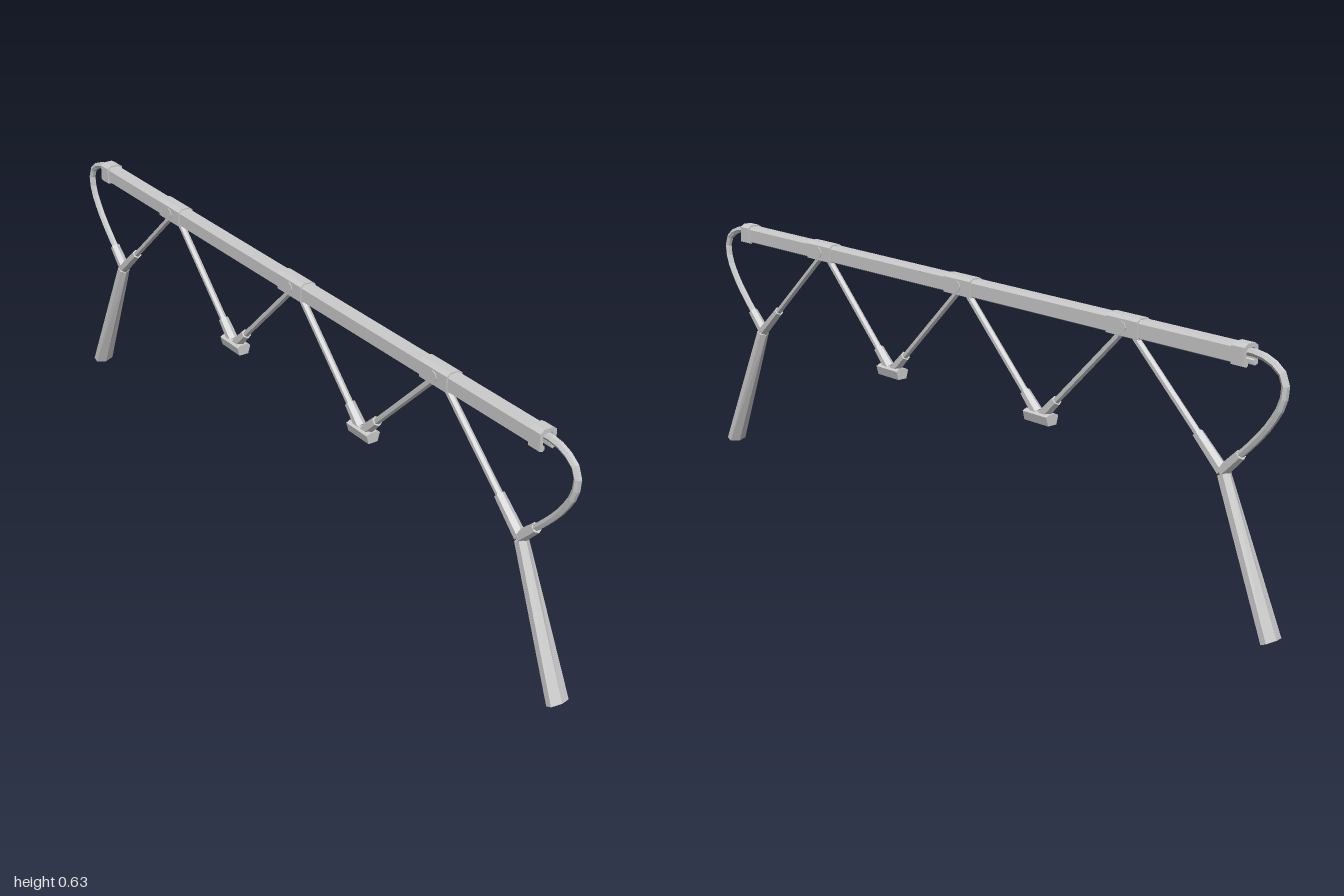
import * as THREE from 'three';

const material = new THREE.MeshStandardMaterial({ color: 0xcccccc, flatShading: true, side: THREE.DoubleSide });

function add(parent, name, geometry) {
  const mesh = new THREE.Mesh(geometry, material);
  mesh.name = name;
  parent.add(mesh);
  return mesh;
}

// Open-bottomed channel with chamfered shoulders and inturned lips, grown outward by g
function channel(length, g = 0) {
  const half = [
    [0, 0.63 + g], [0.011, 0.63 + g], [0.018 + g, 0.623 + g], [0.018 + g, 0.591 - g], [0.013, 0.588 - g],
    [0.009, 0.591 - g], [0.009, 0.596], [0.014, 0.598], [0.014, 0.619], [0.009, 0.624], [0, 0.624],
  ];
  const points = [...half, ...half.slice(1, -1).reverse().map(([x, y]) => [-x, y])];
  const shape = new THREE.Shape(points.map(([x, y]) => new THREE.Vector2(x, y)));
  return new THREE.ExtrudeGeometry(shape, { depth: length, bevelEnabled: false }).translate(0, 0, -length / 2);
}

// Six-sided bar between two [z, y] points in the centre plane
function bar(parent, name, a, b, r0, r1 = r0) {
  const dz = b[0] - a[0], dy = b[1] - a[1];
  const mesh = add(parent, name, new THREE.CylinderGeometry(r1, r0, Math.hypot(dz, dy), 6));
  mesh.position.set(0, (a[1] + b[1]) / 2, (a[0] + b[0]) / 2);
  mesh.rotation.x = Math.atan2(dz, dy);
  return mesh;
}

// Thin strut with a thicker socket at its lower end
function strut(parent, top, foot, socketLength) {
  const t = socketLength / Math.hypot(top[0] - foot[0], top[1] - foot[1]);
  const mid = [foot[0] + (top[0] - foot[0]) * t, foot[1] + (top[1] - foot[1]) * t];
  bar(parent, 'strut', foot, top, 0.0085);
  bar(parent, 'strutSocket', foot, mid, 0.0145, 0.0125);
}

function buildEnd() {
  const end = new THREE.Group();
  const knee = [0.83, 0.345];

  // Leg widening sideways toward the ground
  const leg = bar(end, 'leg', [0.98, 0.006], [0.834, 0.34], 0.016);
  const p = leg.geometry.attributes.position;
  const h = leg.geometry.parameters.height;
  for (let i = 0; i < p.count; i++) {
    const t = p.getY(i) / h + 0.5;
    p.setX(i, p.getX(i) * THREE.MathUtils.lerp(1.8, 1.0, t));
  }
  leg.geometry.computeVertexNormals();

  // Curved tube from the rail end back to the knee
  const curve = new THREE.CatmullRomCurve3([
    [0.85, 0.61], [0.89, 0.616], [0.945, 0.607], [0.983, 0.577], [0.983, 0.53],
    [0.952, 0.474], [0.9, 0.415], [0.83, 0.35],
  ].map(([z, y]) => new THREE.Vector3(0, y, z)));
  add(end, 'curvedTube', new THREE.TubeGeometry(curve, 16, 0.009, 6));
  bar(end, 'tubeSocket', knee, [0.878, 0.392], 0.0145, 0.0125);

  // Outer and inner struts
  strut(end, [0.545, 0.607], knee, 0.1);
  strut(end, [0.545, 0.607], [0.283, 0.35], 0.06);
  strut(end, [0, 0.607], [0.262, 0.35], 0.06);

  // Block where the inner struts meet
  const block = new THREE.Shape([
    [-0.013, 0.329], [0.013, 0.329], [0.019, 0.351], [0.009, 0.356], [-0.009, 0.356], [-0.019, 0.351],
  ].map(([x, y]) => new THREE.Vector2(x, y)));
  add(end, 'strutBlock', new THREE.ExtrudeGeometry(block, { depth: 0.08, bevelEnabled: false }))
    .position.z = 0.232;

  // Rail end collar
  add(end, 'endCollar', channel(0.035, 0.004)).position.z = 0.876;
  return end;
}

export function createModel() {
  const model = new THREE.Group();
  model.name = 'trussFrame';
  add(model, 'rail', channel(1.77));

  // Sleeves and cross pins at the strut joints
  for (const z of [-0.545, 0, 0.545]) {
    add(model, 'sleeve', channel(0.095, 0.003)).position.z = z;
    const pin = add(model, 'pin', new THREE.CylinderGeometry(0.014, 0.014, 0.046, 8));
    pin.rotation.z = Math.PI / 2;
    pin.position.set(0, 0.608, z);
  }

  // Two mirrored ends
  for (const angle of [0, Math.PI]) {
    const end = buildEnd();
    end.name = angle ? 'backEnd' : 'frontEnd';
    end.rotation.y = angle;
    model.add(end);
  }
  return model;
}
